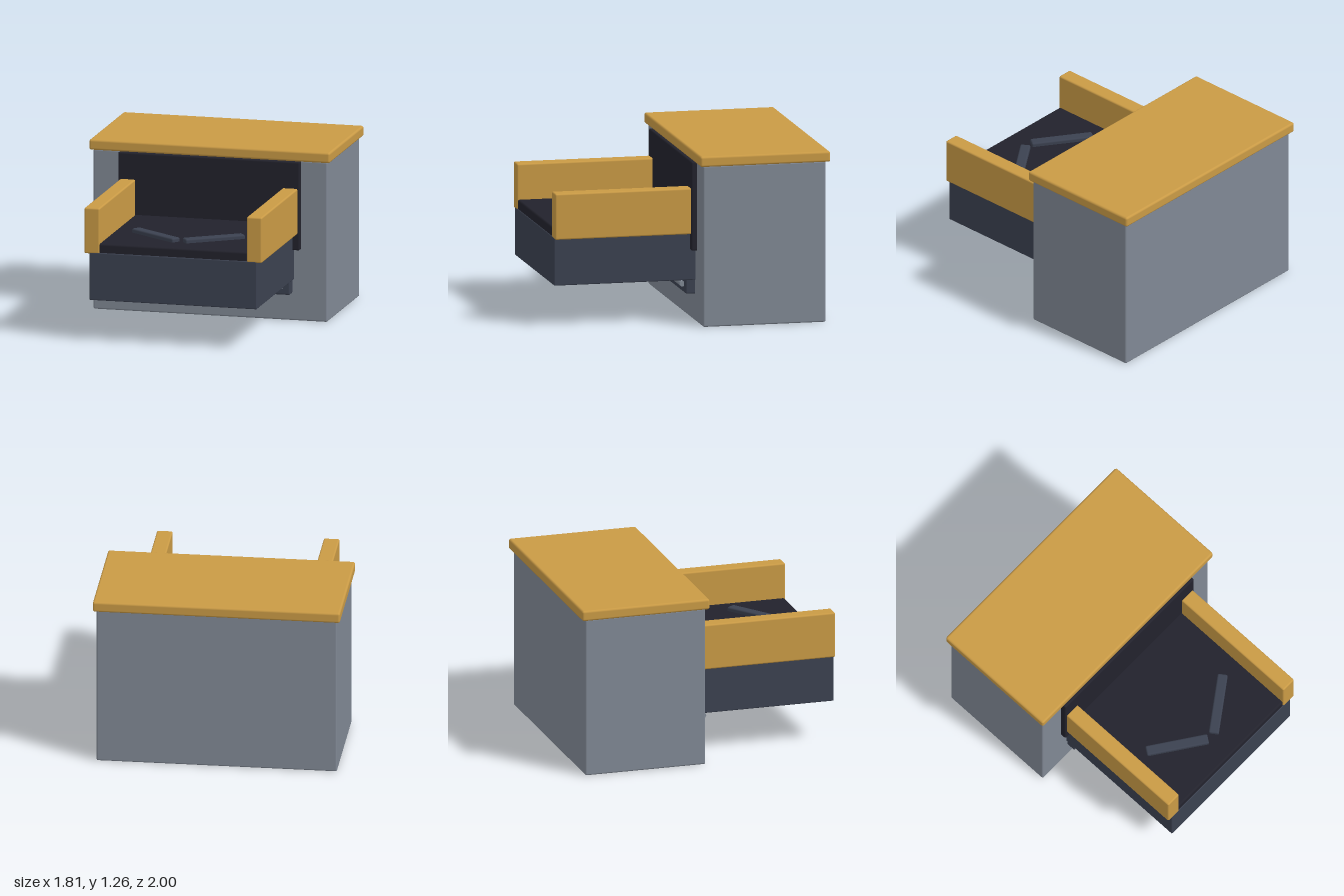
import * as THREE from 'three';
import { RoundedBoxGeometry } from 'three/addons/geometries/RoundedBoxGeometry.js';

const paint = (name, color) => {
  const m = new THREE.MeshStandardMaterial({ color });
  m.name = name;
  return m;
};

export function createModel() {
  const group = new THREE.Group();
  const wood = paint('honey wood', 0xc99a45);
  const grey = paint('cabinet grey', 0x808894);
  const slate = paint('slate', 0x3b4150);
  const dark = paint('charcoal', 0x22222c);

  // Rounded block given by its extents on each axis
  const block = (name, material, [x0, x1], [y0, y1], [z0, z1], r = 0.012) => {
    const geo = new RoundedBoxGeometry(x1 - x0, y1 - y0, z1 - z0, 3, r);
    const mesh = new THREE.Mesh(geo, material);
    mesh.name = name;
    mesh.position.set((x0 + x1) / 2, (y0 + y1) / 2, (z0 + z1) / 2);
    group.add(mesh);
    return mesh;
  };

  // Cabinet with overhanging top
  block('cabinet', grey, [-0.88, 0.88], [0, 1.19], [-0.97, -0.055]);
  block('cabinetTop', wood, [-0.905, 0.905], [1.187, 1.265], [-1, -0.03], 0.016);
  block('backPanel', dark, [-0.683, 0.683], [0.53, 1.188], [-0.08, -0.013]);

  // Seat box, cushion and lower drawer front
  block('seatBase', slate, [-0.63, 0.63], [0.305, 0.66], [-0.06, 1], 0.008);
  block('seatCushion', dark, [-0.56, 0.56], [0.645, 0.727], [-0.03, 0.995], 0.015);
  block('drawerFront', slate, [-0.617, 0.617], [0.2, 0.32], [-0.08, 0.014]);

  // Drawer handle bar
  const handle = new THREE.Mesh(new THREE.CylinderGeometry(0.02, 0.02, 1.13, 16), grey);
  handle.name = 'drawerHandle';
  handle.rotation.z = Math.PI / 2;
  handle.position.set(0, 0.267, 0.028);
  group.add(handle);

  // Armrests and slanted seat strips, mirrored
  for (const [side, s] of [['left', 1], ['right', -1]]) {
    const xs = [0.553, 0.668].map((x) => x * s).sort((a, b) => a - b);
    block(side + 'Armrest', wood, xs, [0.65, 0.99], [-0.02, 1]);
    const strip = block(side + 'SeatStrip', slate, [-0.23, 0.23], [0.715, 0.757], [-0.037, 0.037]);
    strip.position.x = 0.218 * s;
    strip.position.z = 0.665;
    strip.rotation.y = 0.61 * s;
  }
  return group;
}
